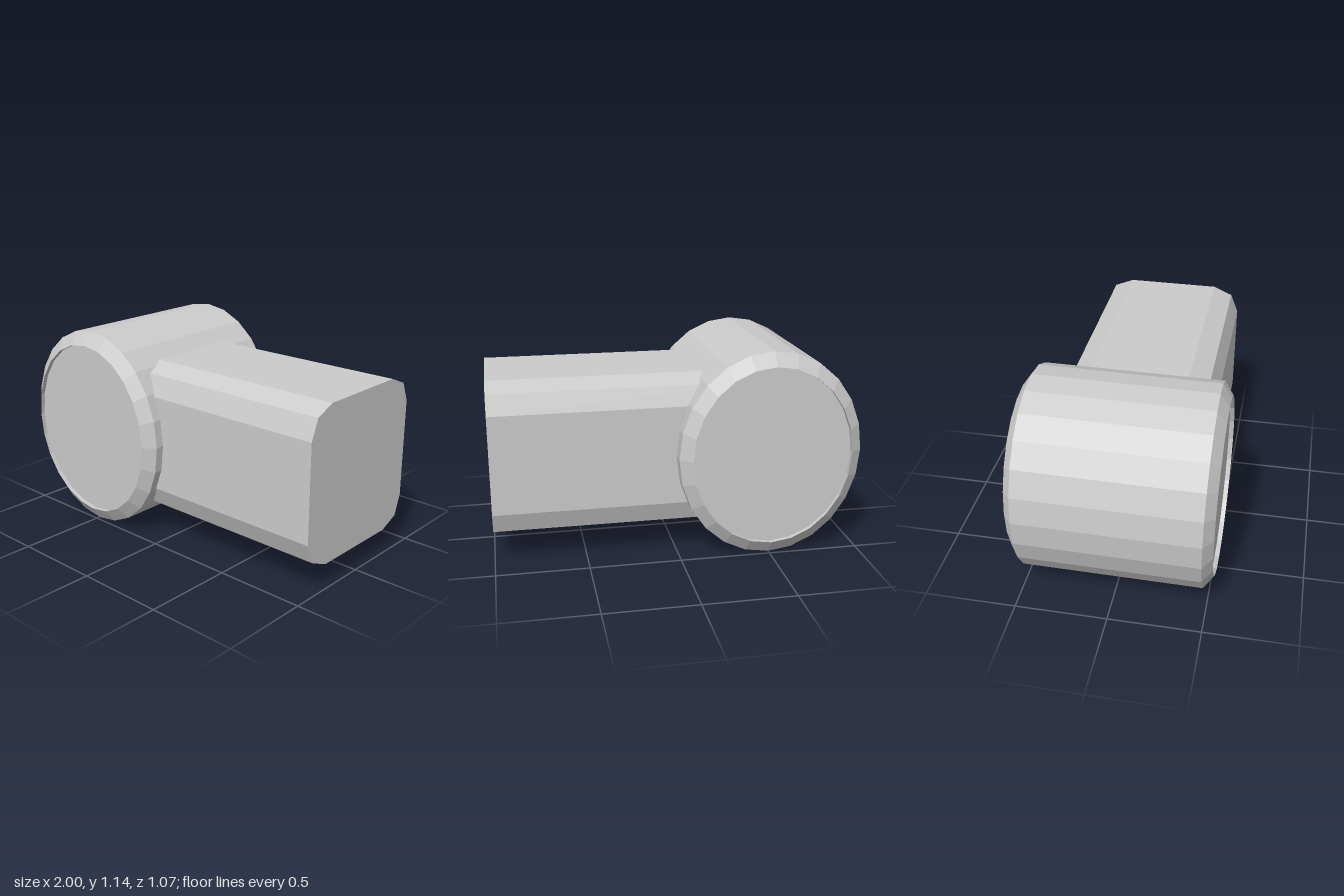
import * as THREE from 'three';

const material = new THREE.MeshStandardMaterial({ color: 0xcccccc, flatShading: true });

// Oval barrel with chamfered rims and slightly recessed end faces, lying along z
function createBarrel() {
  const half = 0.532, shoulder = 0.482, recess = 0.025, rim = 0.87;
  const profile = [
    [0, recess - half], [rim, recess - half], [rim, -half], [1, -shoulder],
    [1, shoulder], [rim, half], [rim, half - recess], [0, half - recess],
  ].map(([r, y]) => new THREE.Vector2(r, y));
  const geometry = new THREE.LatheGeometry(profile, 24);
  geometry.scale(0.505, 1, 0.568);
  geometry.rotateX(Math.PI / 2);
  const barrel = new THREE.Mesh(geometry, material);
  barrel.name = 'barrel';
  barrel.position.set(-0.495, 0.575, 0);
  barrel.rotation.x = 0.007;
  return barrel;
}

// Bar with bevelled corners, running from inside the barrel out to +x
function createBar() {
  const section = [
    [-0.28, 0.147], [0.25, 0.147], [0.365, 0.195], [0.405, 0.305],
    [0.405, 0.85], [0.36, 0.955], [0.25, 1.0], [-0.28, 0.998],
    [-0.39, 0.95], [-0.435, 0.84], [-0.435, 0.305], [-0.39, 0.195],
  ].map(([x, y]) => new THREE.Vector2(x, y));
  const geometry = new THREE.ExtrudeGeometry(new THREE.Shape(section), { depth: 1.5, bevelEnabled: false });
  geometry.rotateY(Math.PI / 2);
  geometry.translate(-0.5, 0, 0);
  const bar = new THREE.Mesh(geometry, material);
  bar.name = 'bar';
  return bar;
}

export function createModel() {
  const model = new THREE.Group();
  model.name = 'barrelWithBar';
  model.add(createBarrel(), createBar());
  return model;
}
